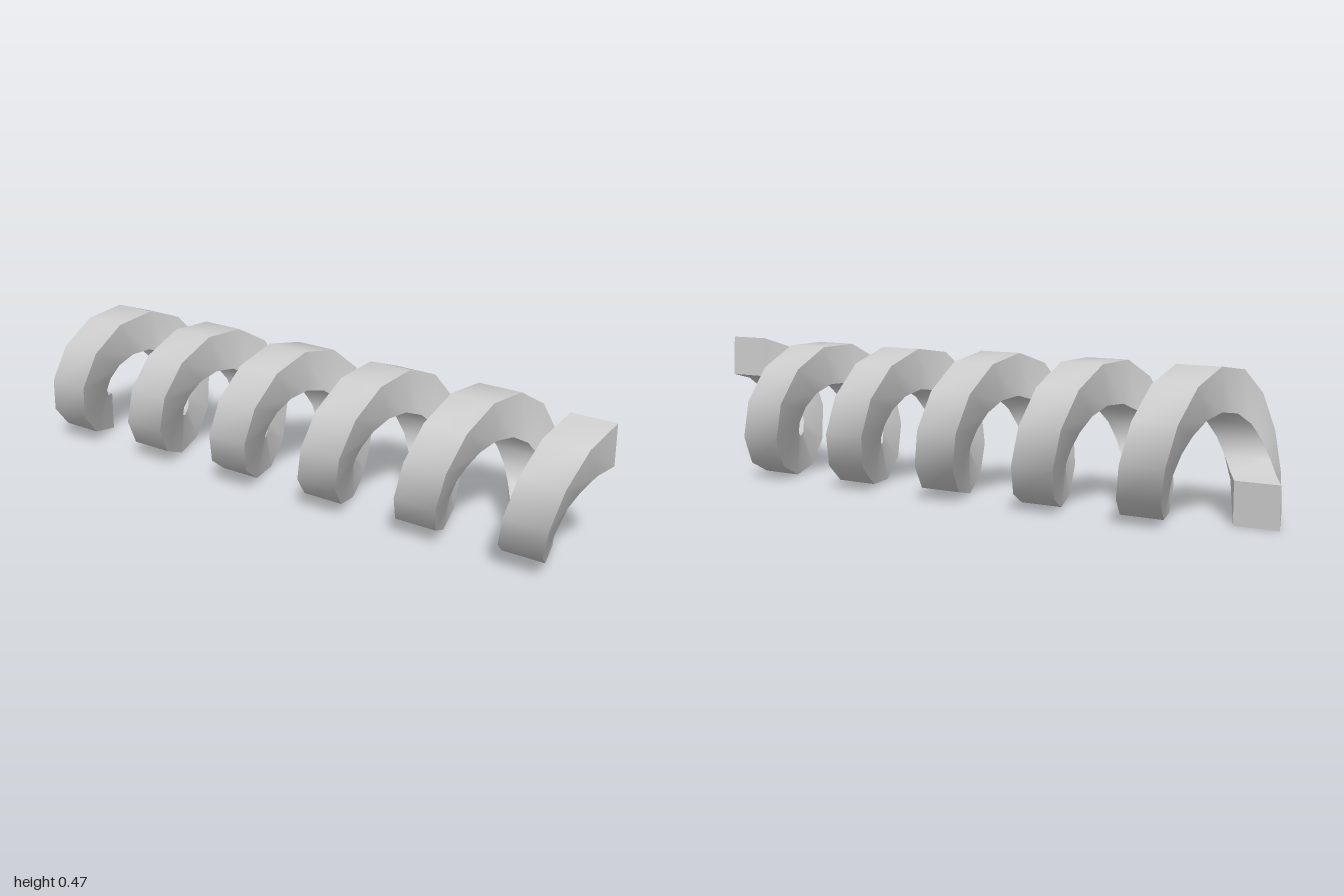
import * as THREE from 'three';
import { toCreasedNormals } from 'three/addons/utils/BufferGeometryUtils.js';

const TURNS = 5.5, STEPS = 64;
const OUTER = 0.235, INNER = 0.1, HALF_WIDTH = 0.069;

// Square section swept along a screw path around the x axis, starting at the bottom
function coilGeometry() {
  const positions = [], index = [];
  const section = [
    [-HALF_WIDTH, INNER], [-HALF_WIDTH, OUTER],
    [HALF_WIDTH, OUTER], [HALF_WIDTH, INNER],
  ];
  const start = 0.03, end = TURNS * Math.PI * 2 - 0.07;
  for (let i = 0; i <= STEPS; i++) {
    const t = i / STEPS;
    const angle = start + (end - start) * t;
    const x = (2 * t - 1) * (1 - HALF_WIDTH);
    const axisZ = 0.005 - 0.01 * t; // the axis drifts slightly backwards
    for (const [dx, r] of section) {
      positions.push(x + dx, OUTER - r * Math.cos(angle), axisZ + r * Math.sin(angle));
    }
  }
  // Four walls per step
  for (let i = 0; i < STEPS; i++) {
    for (let k = 0; k < 4; k++) {
      const a = i * 4 + k, b = i * 4 + (k + 1) % 4;
      index.push(a, b, b + 4, a, b + 4, a + 4);
    }
  }
  // End caps
  const e = STEPS * 4;
  index.push(0, 2, 1, 0, 3, 2, e, e + 1, e + 2, e, e + 2, e + 3);

  const geometry = new THREE.BufferGeometry();
  geometry.setAttribute('position', new THREE.Float32BufferAttribute(positions, 3));
  geometry.setIndex(index);
  return toCreasedNormals(geometry, THREE.MathUtils.degToRad(45));
}

export function createModel() {
  const model = new THREE.Group();
  model.name = 'coilSpring';
  const coil = new THREE.Mesh(
    coilGeometry(),
    new THREE.MeshStandardMaterial({ color: 0xcccccc })
  );
  coil.name = 'coil';
  model.add(coil);
  return model;
}
